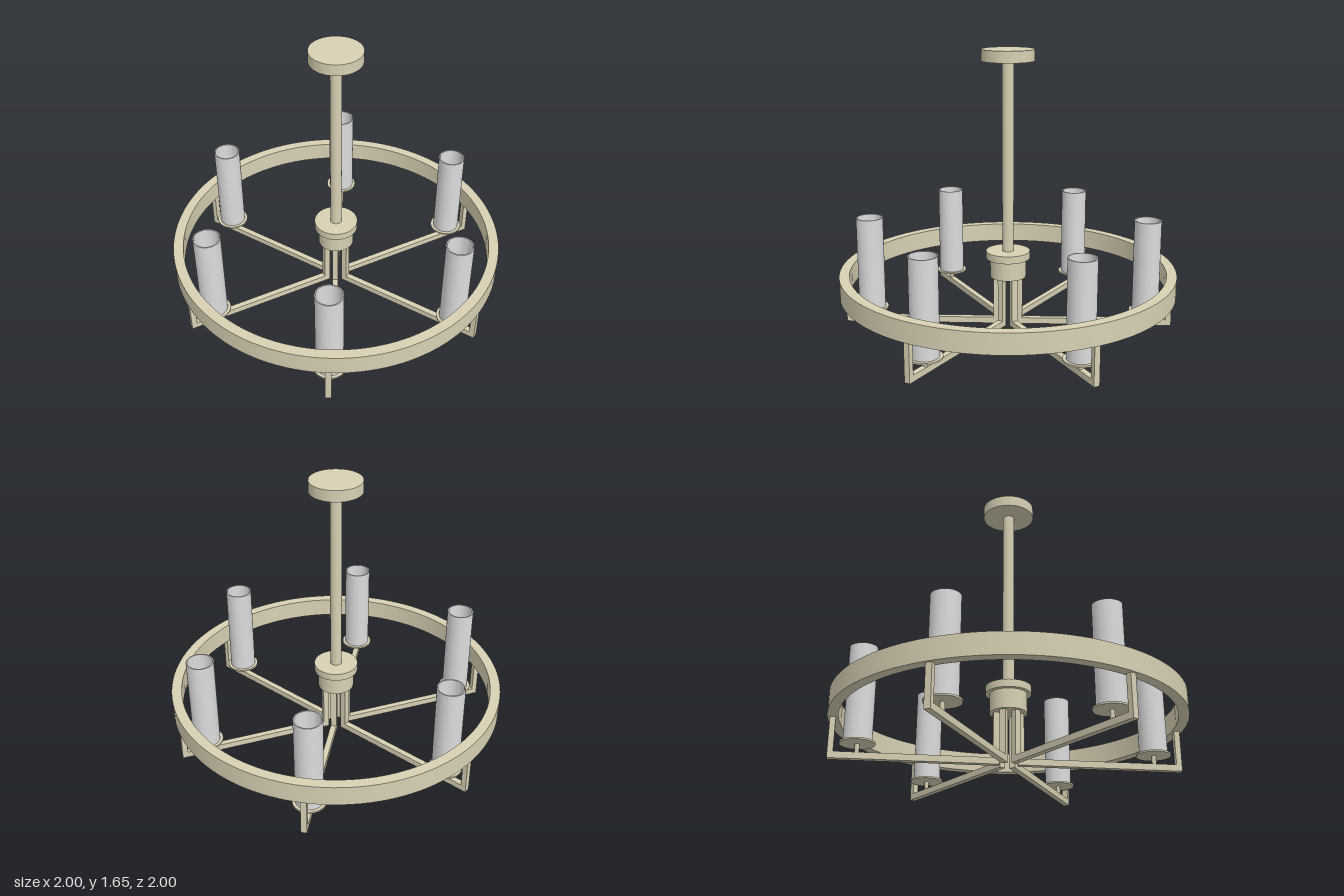
import * as THREE from 'three';
import { toCreasedNormals } from 'three/addons/utils/BufferGeometryUtils.js';

const metal = new THREE.MeshStandardMaterial({ color: 0xd8d0b4 });
metal.name = 'champagne metal';
const glass = new THREE.MeshStandardMaterial({ color: 0xdcdcdc });
glass.name = 'frosted glass';
const dark = new THREE.MeshStandardMaterial({ color: 0x85858a });
dark.name = 'grey bulb';

function add(parent, name, geometry, material) {
  const mesh = new THREE.Mesh(geometry, material);
  mesh.name = name;
  parent.add(mesh);
  return mesh;
}

// Solid upright cylinder between two heights
function disc(parent, name, radius, y0, y1, material = metal, sides = 48) {
  const mesh = add(parent, name, new THREE.CylinderGeometry(radius, radius, y1 - y0, sides), material);
  mesh.position.y = (y0 + y1) / 2;
  return mesh;
}

// Hollow upright tube with a rectangular wall section
function hollow(parent, name, outer, inner, y0, y1, material, sides) {
  const profile = [[outer, y0], [outer, y1], [inner, y1], [inner, y0], [outer, y0]]
    .map(([r, y]) => new THREE.Vector2(r, y));
  const geometry = toCreasedNormals(new THREE.LatheGeometry(profile, sides), 0.6);
  return add(parent, name, geometry, material);
}

// U-shaped square bar: inner post, floor bar and outer post
function armGeometry() {
  const width = 0.035;
  const shape = new THREE.Shape([
    [0.052, 0], [0.985, 0], [0.985, 0.24], [0.953, 0.24], [0.953, 0.037],
    [0.087, 0.037], [0.087, 0.31], [0.052, 0.31],
  ].map(([x, y]) => new THREE.Vector2(x, y)));
  const geometry = new THREE.ExtrudeGeometry(shape, { depth: width, bevelEnabled: false });
  return geometry.translate(0, 0, -width / 2);
}

// Stem, dish, socket, bulb and open glass shade
function makeLamp() {
  const lamp = new THREE.Group();
  lamp.name = 'lamp';
  disc(lamp, 'stem', 0.013, 0.03, 0.09, metal, 20);
  disc(lamp, 'dish', 0.098, 0.086, 0.096);
  hollow(lamp, 'socket', 0.028, 0.016, 0.096, 0.2, metal, 24);
  disc(lamp, 'bulb', 0.016, 0.096, 0.195, dark, 20);
  hollow(lamp, 'shade', 0.08, 0.073, 0.096, 0.655, glass, 48);
  return lamp;
}

export function createModel() {
  const model = new THREE.Group();
  model.name = 'chandelier';

  // Ceiling mount, rod and hub
  disc(model, 'canopy', 0.153, 1.588, 1.655);
  disc(model, 'rod', 0.034, 0.45, 1.59, metal, 32);
  disc(model, 'hubCap', 0.131, 0.415, 0.46);
  disc(model, 'hub', 0.107, 0.3, 0.415);

  // Outer ring
  hollow(model, 'ring', 1, 0.94, 0.232, 0.352, metal, 128);

  // Six arms, each carrying a lamp
  const arm = armGeometry();
  for (let i = 0; i < 6; i++) {
    const spoke = new THREE.Group();
    spoke.name = 'spoke';
    add(spoke, 'arm', arm, metal);
    const lamp = makeLamp();
    lamp.position.x = 0.828;
    spoke.add(lamp);
    spoke.rotation.y = (i * Math.PI) / 3;
    model.add(spoke);
  }
  return model;
}
